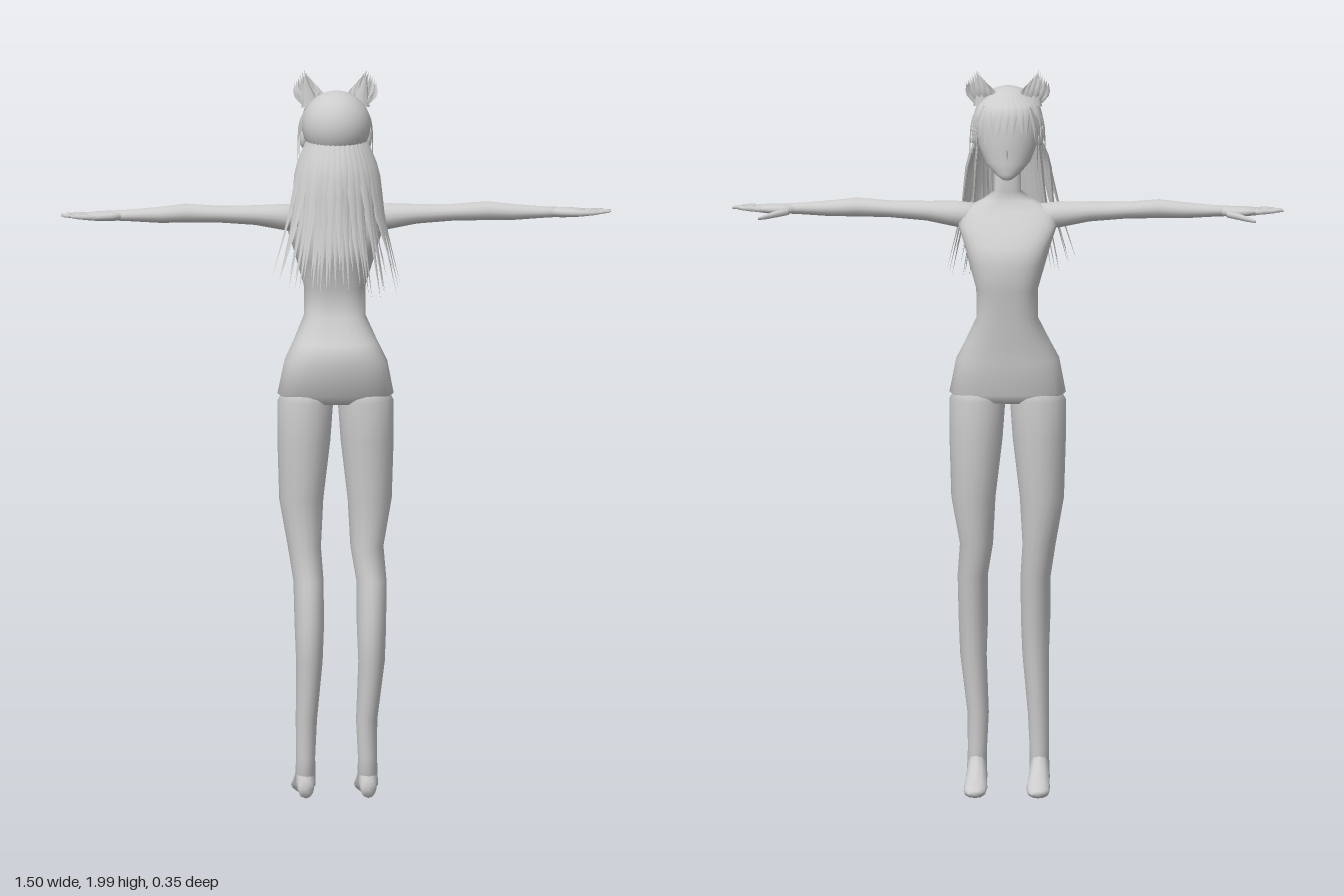
import * as THREE from 'three';
import { mergeGeometries } from 'three/addons/utils/BufferGeometryUtils.js';

const grey = new THREE.MeshStandardMaterial({ color: 0xcccccc, side: THREE.DoubleSide });
grey.name = 'plain light grey';

// Directions of the two ring radii for a loft running along each axis
const RING = { x: [[0, 0, 1], [0, 1, 0]], y: [[1, 0, 0], [0, 0, 1]], z: [[0, 1, 0], [1, 0, 0]] };

// Skin over rounded sections [cx, cy, cz, ra, rb], closed at both ends; power below 1 squares the ring
function loft(axis, rows, n = 16, power = 1) {
  const [u, v] = RING[axis], pos = [], idx = [];
  const round = (k) => Math.sign(k) * Math.abs(k) ** power;
  const first = rows[0], last = rows[rows.length - 1];
  const all = [[...first.slice(0, 3), 0.0005, 0.0005], ...rows, [...last.slice(0, 3), 0.0005, 0.0005]];
  all.forEach(([x, y, z, a, b], r) => {
    for (let i = 0; i < n; i++) {
      const t = (i / n) * Math.PI * 2, c = round(Math.cos(t)) * a, s = round(Math.sin(t)) * b;
      pos.push(x + u[0] * c + v[0] * s, y + u[1] * c + v[1] * s, z + u[2] * c + v[2] * s);
      if (r === all.length - 1) continue;
      const p = r * n + i, q = r * n + (i + 1) % n;
      idx.push(p, p + n, q, q, p + n, q + n);
    }
  });
  return surface(pos, idx);
}

function surface(pos, idx) {
  const g = new THREE.BufferGeometry();
  g.setAttribute('position', new THREE.Float32BufferAttribute(pos, 3));
  g.setIndex(idx);
  g.computeVertexNormals();
  return g;
}

// Tapering lock along a curve, with a raised middle ridge
function lock(points, width, across, out, steps = 6) {
  const curve = new THREE.CatmullRomCurve3(points), pos = [], idx = [];
  for (let i = 0; i <= steps; i++) {
    const t = i / steps, p = curve.getPoint(t), w = width * Math.min(0.6 + t * 1.6, (1 - t) * 1.6 + 0.01);
    for (const k of [-1, 0, 1]) {
      const q = p.clone().addScaledVector(across, k * w * 0.5);
      if (k === 0) q.addScaledVector(out, w * 0.25);
      pos.push(q.x, q.y, q.z);
    }
    if (i === steps) continue;
    for (const k of [0, 1]) {
      const a = i * 3 + k;
      idx.push(a, a + 1, a + 3, a + 1, a + 4, a + 3);
    }
  }
  return surface(pos, idx);
}

const V = (x, y, z) => new THREE.Vector3(x, y, z);

export function createModel() {
  const model = new THREE.Group();
  model.name = 'figure';
  const add = (name, geometry, parent = model) => {
    const m = new THREE.Mesh(geometry, grey);
    m.name = name;
    parent.add(m);
    return m;
  };
  let seed = 7;
  const rnd = () => (seed = (seed * 16807) % 2147483647) / 2147483647;

  // Torso and neck, flowing into one another
  add('torso', loft('y', [
    [0, 1.085, -0.05, 0.12, 0.06], [0, 1.11, -0.05, 0.158, 0.083], [0, 1.2, -0.038, 0.14, 0.1],
    [0, 1.25, -0.055, 0.115, 0.09], [0, 1.32, -0.085, 0.083, 0.068], [0, 1.4, -0.092, 0.084, 0.073],
    [0, 1.47, -0.084, 0.104, 0.092], [0, 1.52, -0.07, 0.118, 0.087], [0, 1.57, -0.055, 0.135, 0.066],
    [0, 1.61, -0.04, 0.125, 0.045], [0, 1.635, -0.035, 0.07, 0.036], [0, 1.66, -0.035, 0.036, 0.033],
    [0, 1.77, -0.045, 0.034, 0.034],
  ], 28, 0.78));

  // Head narrowing to the chin, nose, rounded back of the skull
  add('head', loft('y', [
    [0, 1.7, -0.102, 0.012, 0.012], [0, 1.715, -0.09, 0.034, 0.032], [0, 1.745, -0.066, 0.062, 0.056],
    [0, 1.79, -0.047, 0.08, 0.075], [0, 1.84, -0.04, 0.088, 0.082], [0, 1.88, -0.036, 0.083, 0.078],
    [0, 1.915, -0.03, 0.06, 0.06],
  ], 24));
  const nose = add('nose', new THREE.ConeGeometry(0.008, 0.03, 4));
  nose.position.set(0, 1.772, -0.121);
  nose.rotation.x = -0.25;
  const scalp = add('scalp', new THREE.SphereGeometry(0.094, 28, 20));
  scalp.position.set(0, 1.85, -0.01);

  for (const s of [1, -1]) {
    // Legs and feet
    const side = s > 0 ? 'left' : 'right', bow = s > 0 ? 0.012 : -0.009;
    add(side + 'Leg', loft('y', [
      [s * 0.085, 0.04, -0.004, 0.028, 0.034], [s * 0.084, 0.12, 0, 0.026, 0.031],
      [s * 0.082, 0.22, -0.002, 0.029, 0.037], [s * 0.083 + bow * s, 0.38, 0.003, 0.036, 0.049],
      [s * 0.083 + bow * s, 0.48, 0, 0.04, 0.06], [s * 0.084 + bow * s, 0.6, -0.024, 0.041, 0.054],
      [s * 0.085, 0.69, -0.043, 0.045, 0.054], [s * 0.093, 0.82, -0.052, 0.06, 0.065],
      [s * 0.086, 0.98, -0.05, 0.072, 0.077], [s * 0.082, 1.09, -0.05, 0.076, 0.079],
      [s * 0.075, 1.13, -0.05, 0.062, 0.07],
    ]));
    add(side + 'Foot', loft('z', [
      [s * 0.085, 0.018, -0.165, 0.009, 0.018], [s * 0.086, 0.02, -0.145, 0.016, 0.03],
      [s * 0.085, 0.027, -0.11, 0.023, 0.032], [s * 0.085, 0.042, -0.06, 0.036, 0.029],
      [s * 0.085, 0.06, -0.02, 0.052, 0.027], [s * 0.085, 0.052, 0.012, 0.048, 0.026],
      [s * 0.085, 0.032, 0.036, 0.024, 0.02],
    ], 12)).geometry.translate(0, 0.002, 0);

    // Arm, palm and digits, reaching straight out to the side
    const arm = new THREE.Group();
    arm.name = side + 'Arm';
    arm.scale.x = s;
    model.add(arm);
    add('armLength', loft('x', [
      [0.08, 1.59, -0.04, 0.036, 0.035], [0.14, 1.595, -0.036, 0.04, 0.036],
      [0.22, 1.602, -0.031, 0.035, 0.027], [0.32, 1.606, -0.027, 0.031, 0.023],
      [0.41, 1.61, -0.023, 0.032, 0.026], [0.48, 1.606, -0.022, 0.028, 0.022],
      [0.56, 1.605, -0.023, 0.021, 0.016], [0.6, 1.605, -0.024, 0.021, 0.014],
    ]), arm);
    add('palm', loft('x', [
      [0.58, 1.605, -0.024, 0.02, 0.014], [0.61, 1.604, -0.026, 0.03, 0.014],
      [0.645, 1.604, -0.022, 0.034, 0.013], [0.675, 1.604, -0.019, 0.032, 0.01],
    ], 12), arm);
    [[-0.043, 0.73], [-0.026, 0.748], [-0.009, 0.742], [0.007, 0.722]].forEach(([z, tip], i) => {
      add('finger' + (i + 1), loft('x', [
        [0.655, 1.603, z, 0.008, 0.008], [0.7, 1.606, z, 0.0075, 0.007], [tip, 1.607, z, 0.004, 0.004],
      ], 6), arm);
    });
    add('thumb', loft('x', [
      [0.595, 1.6, -0.036, 0.018, 0.011], [0.63, 1.595, -0.063, 0.017, 0.009],
      [0.655, 1.592, -0.088, 0.012, 0.007], [0.676, 1.59, -0.11, 0.005, 0.004],
    ], 8), arm);

    // Small ear at the side of the head
    const ear = add(side + 'Ear', new THREE.SphereGeometry(0.02, 10, 8));
    ear.scale.set(0.5, 1.3, 0.8);
    ear.position.set(s * 0.088, 1.81, -0.035);

    // Furry pointed ear on the crown: tufts fanned around a solid core
    const tufts = [];
    for (let i = 0; i < 11; i++) {
      const k = i / 5 - 1, low = Math.abs(k) * 0.035;
      tufts.push(lock([
        V(s * (0.066 + k * 0.014), 1.895, -0.045),
        V(s * (0.073 + k * 0.034), 1.94 - low * 0.3, -0.045 - (1 - k * k) * 0.016),
        V(s * (0.085 + k * 0.026), 1.995 - low, -0.058),
      ], 0.018, V(1, 0, 0), V(0, 0, i % 2 ? 1 : -1), 5));
    }
    add(side + 'PointedEar', mergeGeometries(tufts));
    const core = add(side + 'EarCore', new THREE.ConeGeometry(0.026, 0.085, 8));
    core.scale.z = 0.5;
    core.position.set(s * 0.076, 1.94, -0.05);
    core.rotation.z = -s * 0.2;

    // Locks hanging in front of the ears
    const sideLocks = [];
    for (let i = 0; i < 4; i++) {
      const z = -0.05 - i * 0.018, x = 0.094 - i * 0.006;
      sideLocks.push(lock([
        V(s * x * 0.8, 1.9, z + 0.01), V(s * (x + 0.002), 1.84, z - 0.006),
        V(s * (x + 0.008), 1.72 + 0.025 * (i % 3), z - 0.014),
      ], 0.024, V(0, 0, 1), V(s, 0, 0)));
    }
    add(side + 'SideLocks', mergeGeometries(sideLocks));
  }

  // Fringe over the forehead
  const fringe = [];
  for (let i = 0; i < 11; i++) {
    const a = (i / 5 - 1) * 1.05, x = Math.sin(a), z = -Math.cos(a);
    fringe.push(lock([
      V(x * 0.055, 1.925, -0.03 + z * 0.04), V(x * 0.09, 1.885, -0.035 + z * 0.083),
      V(x * 0.098 + (rnd() - 0.5) * 0.02, 1.795 + rnd() * 0.035, -0.038 + z * 0.095),
    ], 0.03, V(-z, 0, x), V(x, 0, z)));
  }
  add('fringe', mergeGeometries(fringe));

  // Long hair fanning out behind the back, in two layers of broad locks
  const hair = [];
  for (const [count, inset] of [[19, 1], [18, 0.8]]) {
    for (let i = 0; i < count; i++) {
      const a = ((i + 0.5) / count * 2 - 1) * 1.5, x = Math.sin(a), z = Math.cos(a);
      const f = inset * (0.86 + rnd() * 0.18), tip = 1.39 + rnd() * 0.09;
      hair.push(lock([
        V(x * 0.08, 1.81, -0.01 + z * 0.076), V(x * 0.108 * inset, 1.73, 0.004 + z * 0.1 * inset),
        V(x * 0.138 * f, 1.6, 0.032 + z * 0.1 * f), V(x * 0.184 * f, tip, 0.065 + z * 0.107 * f),
      ], 0.031, V(z, 0, -x), V(x, 0, z), 8));
    }
  }
  add('longHair', mergeGeometries(hair));

  return model;
}
